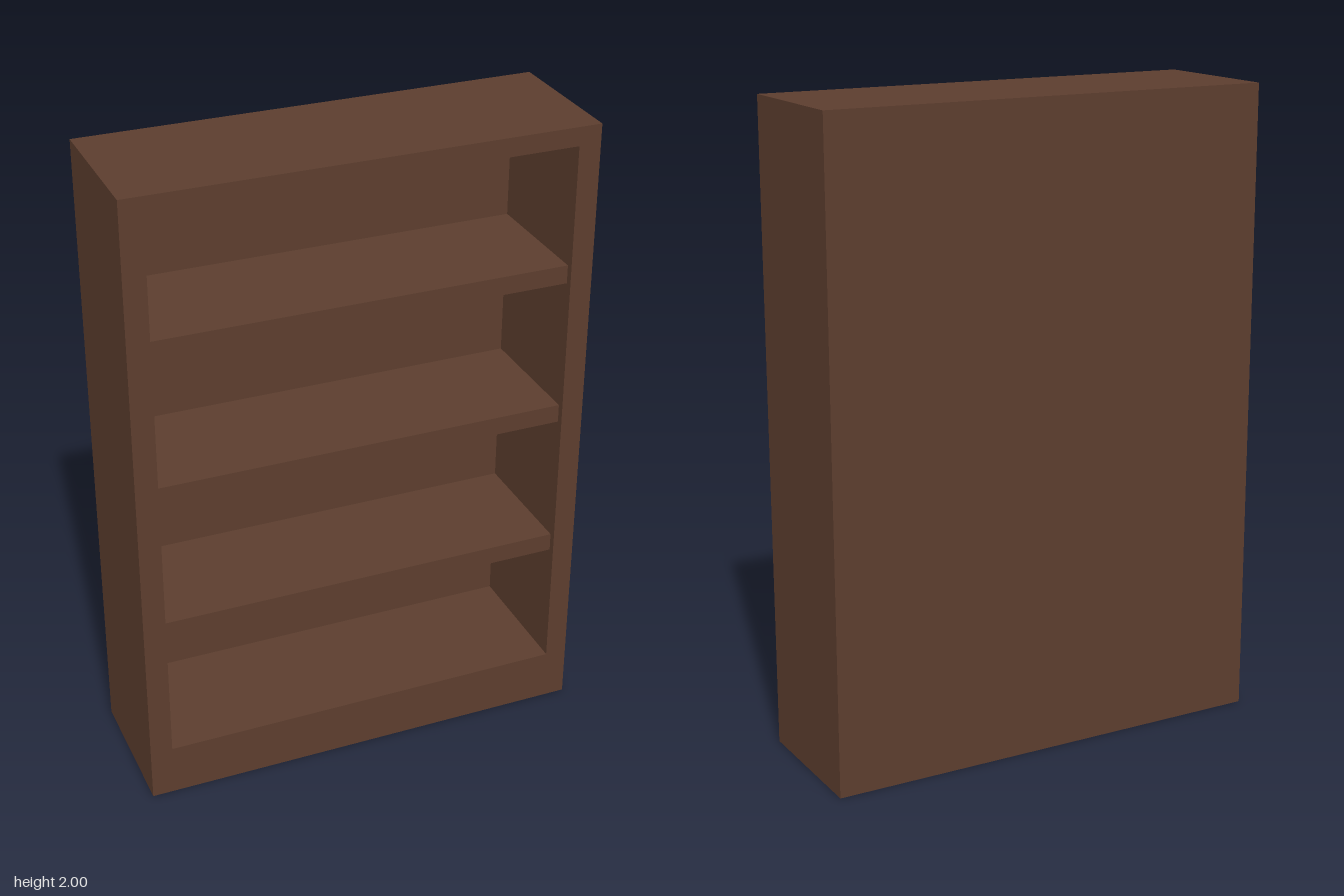
import * as THREE from 'three';

const W = 1.424, H = 2, D = 0.454;      // outer size
const IN_X = 0.643, IN_LOW = 0.165, IN_TOP = 1.942; // opening
const BACK = 0.032;                     // back panel thickness

// Rectangle outline, usable as a shape or a hole
function rect(Type, x0, y0, x1, y1) {
  const r = new Type();
  r.moveTo(x0, y0);
  r.lineTo(x1, y0);
  r.lineTo(x1, y1);
  r.lineTo(x0, y1);
  r.closePath();
  return r;
}

export function createModel() {
  const wood = new THREE.MeshStandardMaterial({ color: 0x5c3d2e });
  wood.name = 'darkWood';
  const model = new THREE.Group();
  model.name = 'bookcase';

  function add(name, geometry, x, y, z) {
    const mesh = new THREE.Mesh(geometry, wood);
    mesh.name = name;
    mesh.position.set(x, y, z);
    model.add(mesh);
  }

  // Sides, top and plinth as one frame around the opening
  const outline = rect(THREE.Shape, -W / 2, 0, W / 2, H);
  outline.holes.push(rect(THREE.Path, -IN_X, IN_LOW, IN_X, IN_TOP));
  add('frame', new THREE.ExtrudeGeometry(outline, { depth: D - BACK, bevelEnabled: false }), 0, 0, -D / 2 + BACK);

  // Back panel
  add('backPanel', new THREE.BoxGeometry(W, H, BACK), 0, H / 2, -D / 2 + BACK / 2);

  // Shelves, set back slightly from the front edge
  const shelfDepth = D - BACK - 0.022;
  [0.592, 1.062, 1.532].forEach((y, i) => {
    add(`shelf${i + 1}`, new THREE.BoxGeometry(IN_X * 2, 0.058, shelfDepth), 0, y, -D / 2 + BACK + shelfDepth / 2);
  });

  return model;
}
